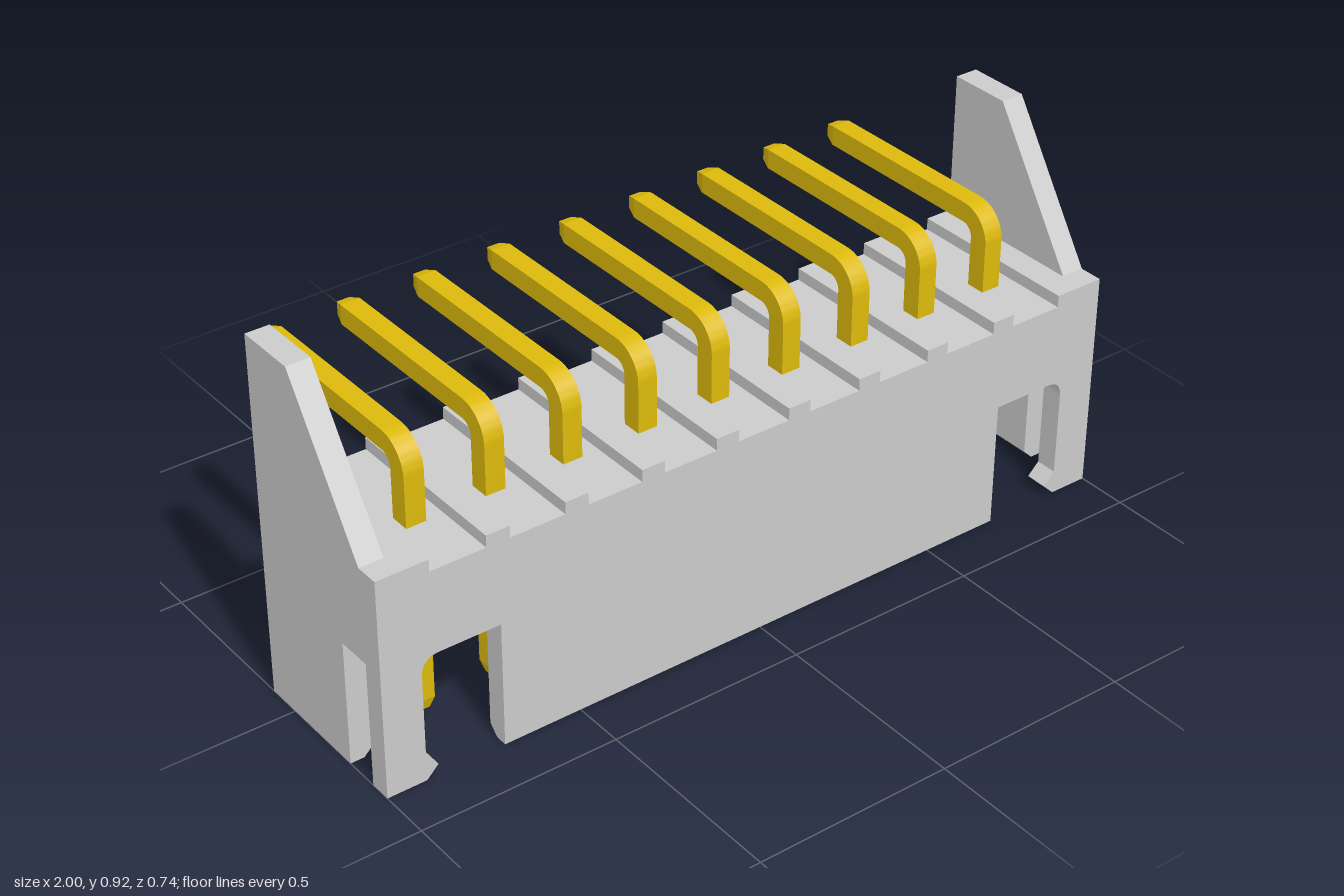
import * as THREE from 'three';
import { toCreasedNormals } from 'three/addons/utils/BufferGeometryUtils.js';

const PINS = 9, PITCH = 0.2;
const BACK = -0.09, FRONT = 0.37, INNER_FRONT = 0.315;
const TOP = 0.56, GROOVE = 0.53, CEILING = 0.32;
const WALL = 0.055, SIDE = 0.06, BEVEL = 0.025;

const toShape = (pts) => new THREE.Shape(pts.map(([a, b]) => new THREE.Vector2(a, b)));

// Extrude an (x, y) outline from z0 to z1
function alongZ(shape, z0, z1) {
  return new THREE.ExtrudeGeometry(shape, { depth: z1 - z0, bevelEnabled: false, curveSegments: 8 })
    .translate(0, 0, z0);
}

// Extrude a (z, y) outline from x0 to x1
function alongX(shape, x0, x1) {
  return new THREE.ExtrudeGeometry(shape, { depth: x1 - x0, bevelEnabled: false, curveSegments: 8 })
    .rotateY(-Math.PI / 2).translate(x1, 0, 0);
}

// Wall section with a bevelled inner lower edge
function wallSection(outer, inner) {
  const mid = inner + Math.sign(outer - inner) * BEVEL;
  return toShape([[outer, 0], [outer, CEILING], [inner, CEILING], [inner, BEVEL], [mid, 0]]);
}

export function createModel() {
  const group = new THREE.Group();
  const plastic = new THREE.MeshStandardMaterial({ color: 0xcccccc });
  const gold = new THREE.MeshStandardMaterial({ color: 0xdcb90c });
  const add = (name, geometry, material, parent = group) => {
    const mesh = new THREE.Mesh(geometry, material);
    mesh.name = name;
    parent.add(mesh);
    return mesh;
  };
  const pinX = (i) => (i - (PINS - 1) / 2) * PITCH;

  // Upper block with one groove across the top at each pin
  const edge = 1 - SIDE;
  const outline = [[edge, CEILING], [edge, TOP]];
  for (let i = PINS - 1; i >= 0; i--) {
    const a = pinX(i) + 0.07, b = pinX(i) - 0.07;
    outline.push([a, TOP], [a, GROOVE], [b, GROOVE], [b, TOP]);
  }
  outline.push([-edge, TOP], [-edge, CEILING]);
  add('groovedTop', alongZ(toShape(outline), BACK, FRONT), plastic);

  // Back wall and the central part of the front wall
  add('backWall', alongX(wallSection(BACK, BACK + WALL), -1, 1), plastic);
  add('frontWall', alongX(wallSection(FRONT, INNER_FRONT), -0.7, 0.7), plastic);

  // Ends: sloped ear, side wall and hooked front leg, mirrored left and right
  const ear = toShape([[BACK, CEILING], [FRONT, CEILING], [FRONT, TOP], [0.31, TOP], [0.07, 0.92], [BACK, 0.92]]);
  for (const s of [1, -1]) {
    const side = s > 0 ? 'left' : 'right';
    add(side + 'Ear', alongX(ear, s > 0 ? edge : -1, s > 0 ? 1 : -edge), plastic);
    add(side + 'Wall', alongZ(wallSection(s, s * edge), BACK, 0.225), plastic);

    const leg = new THREE.Shape();
    leg.moveTo(s, CEILING);
    leg.lineTo(s, 0);
    leg.lineTo(s * 0.9, 0);
    leg.lineTo(s * 0.87, 0.03);
    leg.lineTo(s * 0.9, 0.06);
    leg.lineTo(s * 0.9, 0.275);
    leg.quadraticCurveTo(s * 0.9, CEILING, s * 0.855, CEILING);
    add(side + 'HookedLeg', toCreasedNormals(alongZ(leg, INNER_FRONT, FRONT), 0.5), plastic);
  }

  // Right-angle square pin with tapered tips
  const h = 0.025, pinZ = 0.19, pinY = 0.71, r = 0.08;
  const tipY = 0.04, tipZ = -0.37, taper = 0.03;
  const bend = new THREE.Shape();
  bend.moveTo(pinZ - h, tipY + taper);
  bend.lineTo(pinZ + h, tipY + taper);
  bend.lineTo(pinZ + h, pinY + h - r);
  bend.absarc(pinZ + h - r, pinY + h - r, r, 0, Math.PI / 2, false);
  bend.lineTo(tipZ + taper, pinY + h);
  bend.lineTo(tipZ + taper, pinY - h);
  bend.lineTo(pinZ + h - r, pinY - h);
  bend.absarc(pinZ + h - r, pinY + h - r, r - 2 * h, Math.PI / 2, 0, true);
  const bendGeometry = toCreasedNormals(alongX(bend, -h, h), 0.5);

  const tip = new THREE.CylinderGeometry(h * Math.SQRT2, 0.016 * Math.SQRT2, taper, 4, 1)
    .rotateY(Math.PI / 4).toNonIndexed();
  tip.computeVertexNormals();
  const lowerTip = tip.clone().translate(0, tipY + taper / 2, pinZ);
  const rearTip = tip.clone().rotateX(Math.PI / 2).translate(0, pinY, tipZ + taper / 2);

  for (let i = 0; i < PINS; i++) {
    const pin = new THREE.Group();
    pin.name = 'pin' + (i + 1);
    pin.position.x = pinX(i);
    add('bentPin', bendGeometry, gold, pin);
    add('lowerTip', lowerTip, gold, pin);
    add('rearTip', rearTip, gold, pin);
    group.add(pin);
  }
  return group;
}
